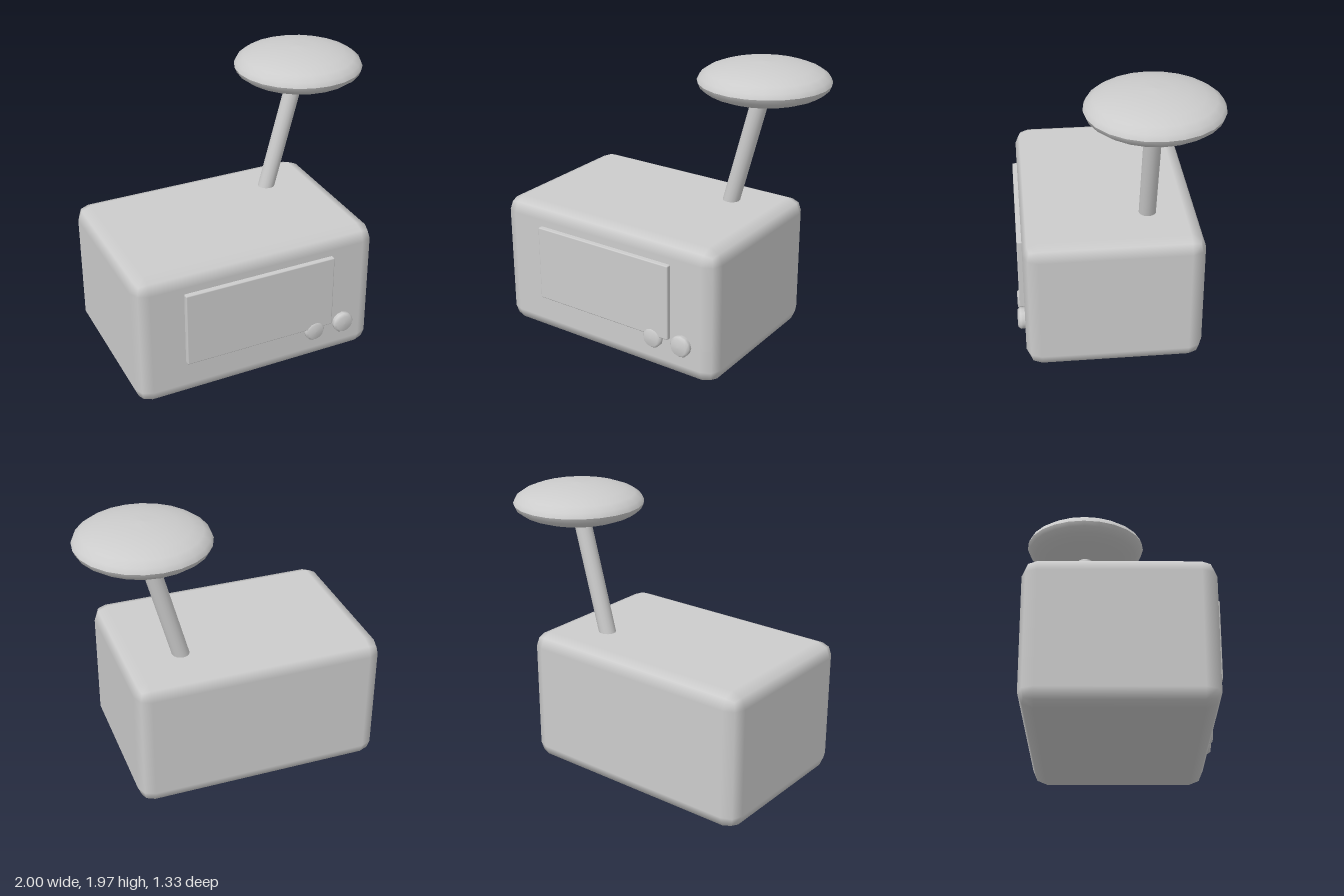
import * as THREE from 'three';
import { RoundedBoxGeometry } from 'three/addons/geometries/RoundedBoxGeometry.js';

export function createModel() {
  const model = new THREE.Group();
  const grey = new THREE.MeshStandardMaterial({ color: 0xcccccc });
  grey.name = 'light grey';

  const add = (name, geometry, x, y, z) => {
    const mesh = new THREE.Mesh(geometry, grey);
    mesh.name = name;
    mesh.position.set(x, y, z);
    model.add(mesh);
    return mesh;
  };
  const lathe = (points, sides) =>
    new THREE.LatheGeometry(points.map(([r, y]) => new THREE.Vector2(r, y)), sides);

  // Housing with coarse rounded edges, and the raised front door
  add('housing', new RoundedBoxGeometry(1.73, 0.95, 1.19, 1, 0.1), -0.135, 0.475, 0.02);
  add('door', new RoundedBoxGeometry(1.07, 0.53, 0.1, 1, 0.008), -0.135, 0.54, 0.598);

  // Two round knobs with softened rims
  const knobProfile = [[0.068, -0.07], [0.074, -0.035], [0.074, -0.02], [0.058, -0.002], [0, 0]];
  for (const [name, x, y, z, size] of [
    ['innerKnob', 0.272, 0.253, 0.661, 0.97],
    ['outerKnob', 0.493, 0.257, 0.665, 1],
  ]) {
    const knob = add(name, lathe(knobProfile, 12), x, y, z);
    knob.rotation.x = Math.PI / 2;
    knob.scale.set(size, 1, size);
  }

  // Slanted stem, sunk into the housing and the dish
  const foot = new THREE.Vector3(0.31, 0.88, -0.228);
  const head = new THREE.Vector3(0.555, 1.78, -0.228);
  const span = head.clone().sub(foot);
  const stem = add('stem', new THREE.CylinderGeometry(0.058, 0.058, span.length(), 16), 0, 0, 0);
  stem.position.copy(foot).add(head).multiplyScalar(0.5);
  stem.quaternion.setFromUnitVectors(new THREE.Vector3(0, 1, 0), span.normalize());

  // Lens-shaped dish: two shallow domes meeting at a sharp rim
  const dome = [];
  for (let i = 0; i <= 6; i++) {
    const a = (i / 6) * Math.PI / 2;
    dome.push([0.44 * Math.cos(a), 0.13 * Math.sin(a)]);
  }
  dome[6][0] = 0;
  const lower = dome.map(([r, y]) => [r, -y]).reverse();
  add('dishTop', lathe(dome, 24), 0.56, 1.835, -0.228);
  add('dishUnderside', lathe(lower, 24), 0.56, 1.835, -0.228);

  return model;
}
